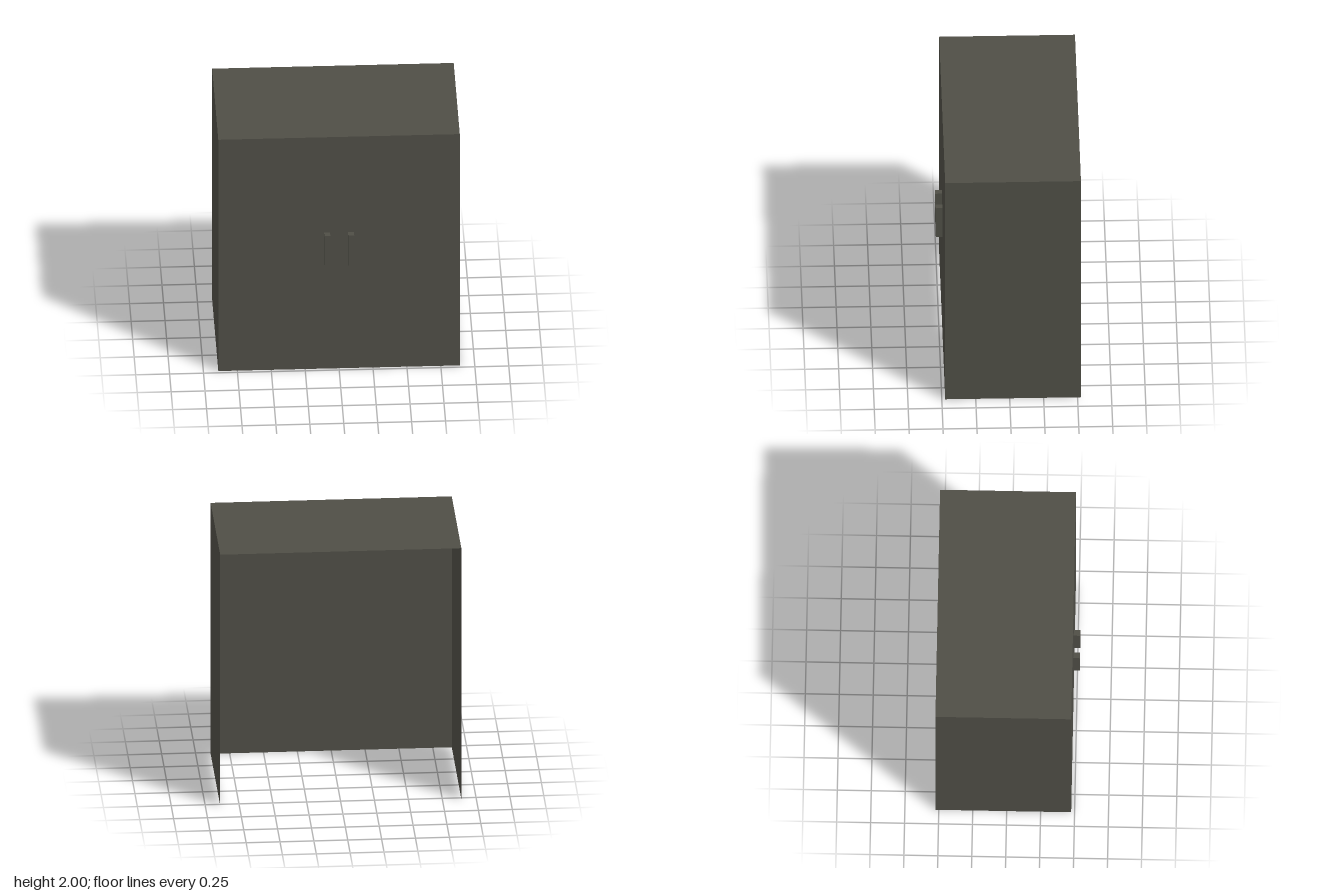
import * as THREE from 'three';

export function createModel() {
  const model = new THREE.Group();
  model.name = 'cabinet';
  const paint = new THREE.MeshStandardMaterial({ color: 0x4f4e46, side: THREE.DoubleSide });
  paint.name = 'dark olive grey';

  const W = 1.78, H = 2, back = -0.525, front = 0.475;
  const D = front - back, midZ = (front + back) / 2;

  function add(name, geometry, x, y, z) {
    const mesh = new THREE.Mesh(geometry, paint);
    mesh.name = name;
    mesh.position.set(x, y, z);
    model.add(mesh);
  }

  // Thin cabinet shell, open at the back and underneath
  add('frontPanel', new THREE.PlaneGeometry(W, H), 0, H / 2, front);
  add('topPanel', new THREE.PlaneGeometry(W, D).rotateX(-Math.PI / 2), 0, H, midZ);

  for (const [side, s] of [['left', 1], ['right', -1]]) {
    add(side + 'Panel', new THREE.PlaneGeometry(D, H).rotateY(s * Math.PI / 2), s * W / 2, H / 2, midZ);

    // Bar handle, without the hidden face against the front panel
    const handle = new THREE.BoxGeometry(0.044, 0.265, 0.05);
    handle.setIndex(Array.from(handle.index.array).slice(0, 30));
    handle.clearGroups();
    add(side + 'Handle', handle, s * 0.088, 1.0425, front + 0.025);
  }
  return model;
}
